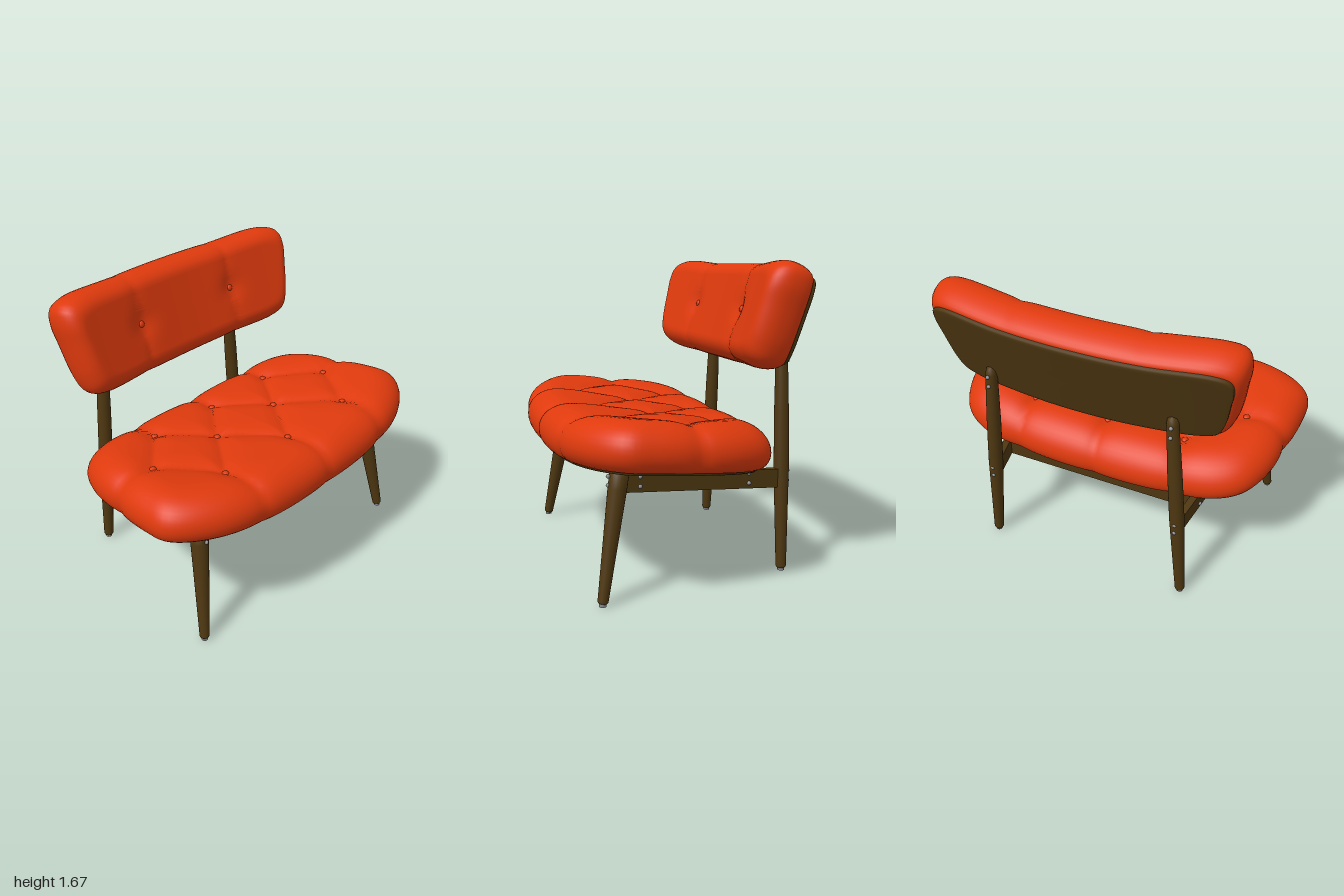
import * as THREE from 'three';

const material = (name, color) => {
  const m = new THREE.MeshStandardMaterial({ color });
  m.name = name;
  return m;
};

// Closed symmetric outline, counter-clockwise from the bottom middle; given as its +x half
function outline(half, count) {
  const left = half.slice(1, -1).reverse().map(([x, v]) => [-x, v]);
  const pts = [...half, ...left].map(([x, v]) => new THREE.Vector3(x, v, 0));
  return new THREE.CatmullRomCurve3(pts, true).getSpacedPoints(count).slice(0, count);
}

// Cushion cross-section rows: inset, height, scale, sideways and upward share of dimples
function padRows(top, topInset, bottom, bottomInset, steps) {
  const rows = [];
  for (let i = 0; i <= steps; i++) rows.push([topInset, top, i / steps, 0, 1]);
  for (let i = 1; i <= 10; i++) {
    const a = (Math.PI / 2) * (1 - i / 10);
    rows.push([topInset * (1 - Math.cos(a)), top * Math.sin(a), 1, Math.cos(a), Math.sin(a)]);
  }
  for (let i = 1; i <= 6; i++) {
    const a = (Math.PI / 2) * (i / 6);
    rows.push([bottomInset * (1 - Math.cos(a)), -bottom * Math.sin(a), 1, Math.cos(a), 0]);
  }
  for (let i = 9; i >= 0; i--) rows.push([bottomInset, -bottom, i / 10, 0, 0]);
  return rows;
}

// Thin backing board rows: rim, then the flat underside
function boardRows(inset, top, bottom) {
  const rows = [[inset, top, 1, 0, 0], [inset, bottom + 0.006, 1, 0, 0], [inset + 0.008, bottom, 1, 0, 0]];
  for (let i = 11; i >= 0; i--) rows.push([inset + 0.008, bottom, i / 12, 0, 0]);
  return rows;
}

// Skins rings of the outline, one per row
function loft(shape, halfW, halfH, rows, place) {
  const n = shape.length, pos = [], index = [];
  rows.forEach(([inset, h, t, side, up], i) => {
    shape.forEach((p, j) => {
      pos.push(...place(p.x * (1 - inset / halfW) * t, p.y * (1 - inset / halfH) * t, h, side, up));
      if (i === rows.length - 1) return;
      const k = (j + 1) % n, a = i * n + j, b = a + n, c = (i + 1) * n + k, d = i * n + k;
      index.push(a, b, c, a, c, d);
    });
  });
  const g = new THREE.BufferGeometry();
  g.setAttribute('position', new THREE.Float32BufferAttribute(pos, 3));
  g.setIndex(index);
  g.computeVertexNormals();
  return g;
}

export function createModel() {
  const fabric = material('orange fabric', 0xdf3a0d);
  const wood = material('dark wood', 0x4e3711);
  const metal = material('grey metal', 0x8e9094);
  const model = new THREE.Group();

  const add = (parent, name, geometry, mat, x = 0, y = 0, z = 0) => {
    const mesh = new THREE.Mesh(geometry, mat);
    mesh.name = name;
    mesh.position.set(x, y, z);
    parent.add(mesh);
    return mesh;
  };

  // Tuft points of the seat in three rows, and the seams joining them
  const tuftRows = [
    [-0.46, 0, 0.46].map(x => [x, -0.21]),
    [-0.72, -0.24, 0.24, 0.72].map(x => [x, 0.065]),
    [-0.5, 0, 0.5].map(x => [x, 0.375]),
  ];
  const seams = [];
  for (const r of [0, 1])
    for (const p of tuftRows[r])
      for (const q of tuftRows[r + 1]) if (Math.abs(p[0] - q[0]) < 0.3) seams.push([p, q]);
  tuftRows[0].forEach(p => seams.push([p, [p[0] * 1.04, -0.6]]));
  tuftRows[2].forEach(p => seams.push([p, [p[0] * 1.02, 0.8]]));
  [-1, 1].forEach(s => seams.push([[s * 0.72, 0.065], [s * 1.1, 0.03]]));

  const seamDistance = (x, z) => Math.min(...seams.map(([p, q]) => {
    const dx = q[0] - p[0], dz = q[1] - p[1];
    const t = THREE.MathUtils.clamp(((x - p[0]) * dx + (z - p[1]) * dz) / (dx * dx + dz * dz), 0, 1);
    return Math.hypot(x - p[0] - dx * t, z - p[1] - dz * t);
  }));
  const seatDip = (x, z) => {
    const tuft = Math.min(...tuftRows.flat().map(p => Math.hypot(x - p[0], z - p[1])));
    return 0.03 * Math.exp(-seamDistance(x, z) / 0.06) + 0.014 * Math.exp(-((tuft / 0.06) ** 2));
  };

  // Seat: dished sideways and sloping to the back
  const seatLevel = (x, z) => 0.75 + 0.06 * x * x + 0.08 * (z - 0.69);
  const seatZ = 0.11, seatTop = 0.163;
  const seatShape = outline([[0, -0.577], [0.5, -0.557], [0.76, -0.49], [0.93, -0.385], [0.99, -0.3],
    [0.995, -0.18], [0.97, 0.09], [0.92, 0.31], [0.84, 0.45], [0.7, 0.53], [0.4, 0.565], [0, 0.572]], 168);
  const placeSeat = (u, v, h, side, up) => {
    const z = seatZ - v;
    const dip = side || up ? seatDip(u, z) : 0;
    const k = 1 - dip * side;
    return [u * k, seatLevel(u, z) + h - dip * up, seatZ - v * k];
  };
  const seat = new THREE.Group();
  seat.name = 'seat';
  model.add(seat);
  add(seat, 'seatCushion', loft(seatShape, 1, 0.57, padRows(seatTop, 0.19, 0.09, 0.07, 38), placeSeat), fabric);
  add(seat, 'seatBoard', loft(seatShape, 1, 0.57, boardRows(0.062, -0.075, -0.1), placeSeat), wood);
  add(seat, 'undersidePlate', new THREE.BoxGeometry(0.76, 0.008, 0.36), metal, 0, 0.597, 0.09).rotation.x = -0.08;
  const button = new THREE.SphereGeometry(0.019, 14, 10);
  for (const [x, z] of tuftRows.flat())
    add(seat, 'seatButton', button, fabric, x, seatLevel(x, z) + seatTop - seatDip(x, z) + 0.004, z).scale.y = 0.6;

  // Backrest: curved, leaning back, with two stitched seams
  const back = new THREE.Group();
  back.name = 'backrest';
  back.position.set(0, 1.375, -0.5);
  back.rotation.x = -0.295;
  model.add(back);
  const backShape = outline([[0, -0.283], [0.4, -0.282], [0.66, -0.278], [0.75, -0.25], [0.79, -0.17],
    [0.828, 0.04], [0.843, 0.16], [0.825, 0.235], [0.74, 0.272], [0.4, 0.276], [0, 0.28]], 168);
  const backDip = (u, v) => {
    const d = Math.abs(Math.abs(u) - 0.35);
    return 0.014 * Math.exp(-d / 0.04) + 0.02 * Math.exp(-((d * d + v * v) / 0.006));
  };
  const placeBack = (u, v, h, side, up) => {
    const dip = side || up ? backDip(u, v) : 0;
    return [u, v * (1 - dip * side), h + 0.13 * u * u - dip * up];
  };
  add(back, 'backCushion', loft(backShape, 0.84, 0.28, padRows(0.13, 0.095, 0.112, 0.045, 26), placeBack), fabric);
  add(back, 'backPanel', loft(backShape, 0.84, 0.28, boardRows(0.042, -0.09, -0.132), placeBack), wood);
  for (const s of [-1, 1])
    add(back, 'backButton', button, fabric, s * 0.35, 0, 0.13 + 0.016 - backDip(0.35, 0) + 0.004).scale.z = 0.6;

  // Turned leg between two points; profile is [radius, fraction of length]
  const up = new THREE.Vector3(0, 1, 0);
  const leg = (name, from, to, profile) => {
    const a = new THREE.Vector3(...from), dir = new THREE.Vector3(...to).sub(a);
    const L = dir.length();
    const g = new THREE.LatheGeometry(profile.map(([r, t]) => new THREE.Vector2(r, t * L)), 24);
    add(model, name, g, wood, ...from).quaternion.setFromUnitVectors(up, dir.normalize());
    add(model, 'footGlide', new THREE.CylinderGeometry(0.02, 0.018, 0.024, 16), metal, from[0], 0.012, from[2]);
  };
  const screw = new THREE.SphereGeometry(0.011, 10, 8);
  const rail = new THREE.BoxGeometry(0.04, 0.1, 0.9);

  for (const s of [-1, 1]) {
    leg('frontLeg', [s * 0.803, 0.015, 0.5], [s * 0.713, 0.66, 0.387],
      [[0, 0], [0.022, 0], [0.027, 0.012], [0.048, 0.85], [0.049, 1], [0, 1]]);
    leg('rearLeg', [s * 0.592, 0.015, -0.545], [s * 0.505, 1.255, -0.558],
      [[0, 0], [0.023, 0], [0.028, 0.008], [0.037, 0.3], [0.041, 0.45], [0.039, 0.7], [0.032, 0.96], [0.024, 0.99], [0, 1]]);

    // Side rail from front leg to rear leg
    const r = add(model, 'sideRail', rail, wood, s * 0.628, 0.55, -0.075);
    r.lookAt(s * 0.695, 0.588, 0.37);

    // Screw pairs on legs, rails and back supports
    for (const [x, y, z, gap] of [[0.722, 0.585, 0.449, 0.045], [0.7, 0.56, 0.28, 0.05],
      [0.61, 0.507, -0.34, 0.053], [0.555, 0.49, -0.587, 0.055], [0.512, 1.14, -0.592, 0.06]])
      for (const i of [0, 1]) add(model, 'screw', screw, metal, s * x, y + i * gap, z);
  }

  // Cross bars under the seat
  add(model, 'frontCrossBar', new THREE.BoxGeometry(1.35, 0.1, 0.045), wood, 0, 0.578, 0.28);
  add(model, 'rearCrossBar', new THREE.BoxGeometry(1.17, 0.095, 0.045), wood, 0, 0.519, -0.34);

  return model;
}
